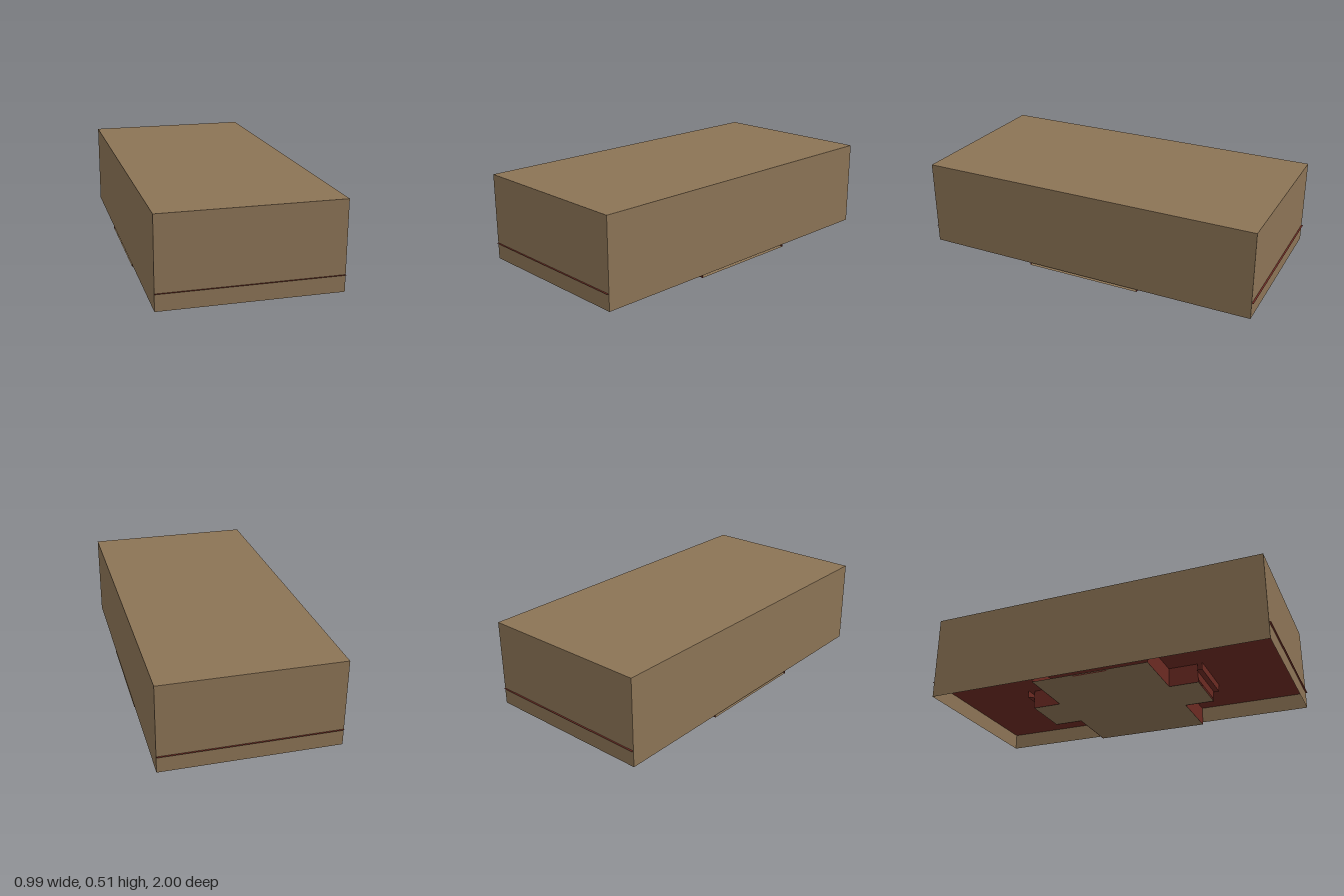
import * as THREE from 'three';

export function createModel() {
  const root = new THREE.Group();
  const mat = (name, color) => {
    const m = new THREE.MeshStandardMaterial({ color, side: THREE.DoubleSide });
    m.name = name;
    return m;
  };
  const tan = mat('tan casing', 0x8b7355);
  const red = mat('dark red', 0x6b2a22);

  // Flat rectangular sheet, facing along the given axis
  function sheet(name, material, axis, w, h, x, y, z) {
    const g = new THREE.PlaneGeometry(w, h);
    if (axis === 'x') g.rotateY(Math.PI / 2);
    if (axis === 'y') g.rotateX(-Math.PI / 2);
    const m = new THREE.Mesh(g, material);
    m.name = name;
    m.position.set(x, y, z);
    root.add(m);
  }

  const X = 0.494, Z = 0.99, BASE = 0.016, TOP = 0.512, FLOOR = 0.11;
  const H = TOP - BASE, MID = (TOP + BASE) / 2;

  // Casing: open underneath
  sheet('casingTop', tan, 'y', 2 * X, 2 * Z, 0, TOP, 0);
  for (const s of [-1, 1]) {
    sheet('casingSide', tan, 'x', 2 * Z, H, s * X, MID, 0);
    sheet('casingEnd', tan, 'z', 2 * X, H, 0, MID, s * Z);
  }

  // Recessed floor, its edges just showing through both ends
  sheet('recessedFloor', red, 'y', 2 * X, 2, 0, FLOOR, 0);

  // Raised central pad with a tab at each end
  const PAD = 0.34, TAB = 0.51, TX = 0.15;
  sheet('centralPad', tan, 'y', 2 * X, 2 * PAD, 0, 0.002, 0);
  for (const s of [-1, 1]) {
    sheet('padTab', tan, 'y', 2 * TX, TAB - PAD, 0, 0.002, s * (PAD + TAB) / 2);
    // Stepped wall around the tab end
    sheet('tabLowerWall', red, 'z', 2 * TX, 0.05, 0, 0.04, s * TAB);
    sheet('tabStep', red, 'y', 2 * TX + 0.04, 0.03, 0, 0.065, s * (TAB + 0.015));
    sheet('tabUpperWall', red, 'z', 2 * TX + 0.04, FLOOR - 0.065, 0, 0.0875, s * (TAB + 0.03));
    for (const t of [-1, 1]) {
      sheet('padEndWall', red, 'z', X - TX, FLOOR, t * (X + TX) / 2, FLOOR / 2, s * PAD);
      sheet('tabSideWall', red, 'x', TAB - PAD, FLOOR, t * TX, FLOOR / 2, s * (PAD + TAB) / 2);
    }
  }

  // Small slot along one edge of the pad
  sheet('edgeSlot', red, 'y', 0.012, 0.2, -0.482, 0, 0);
  return root;
}
